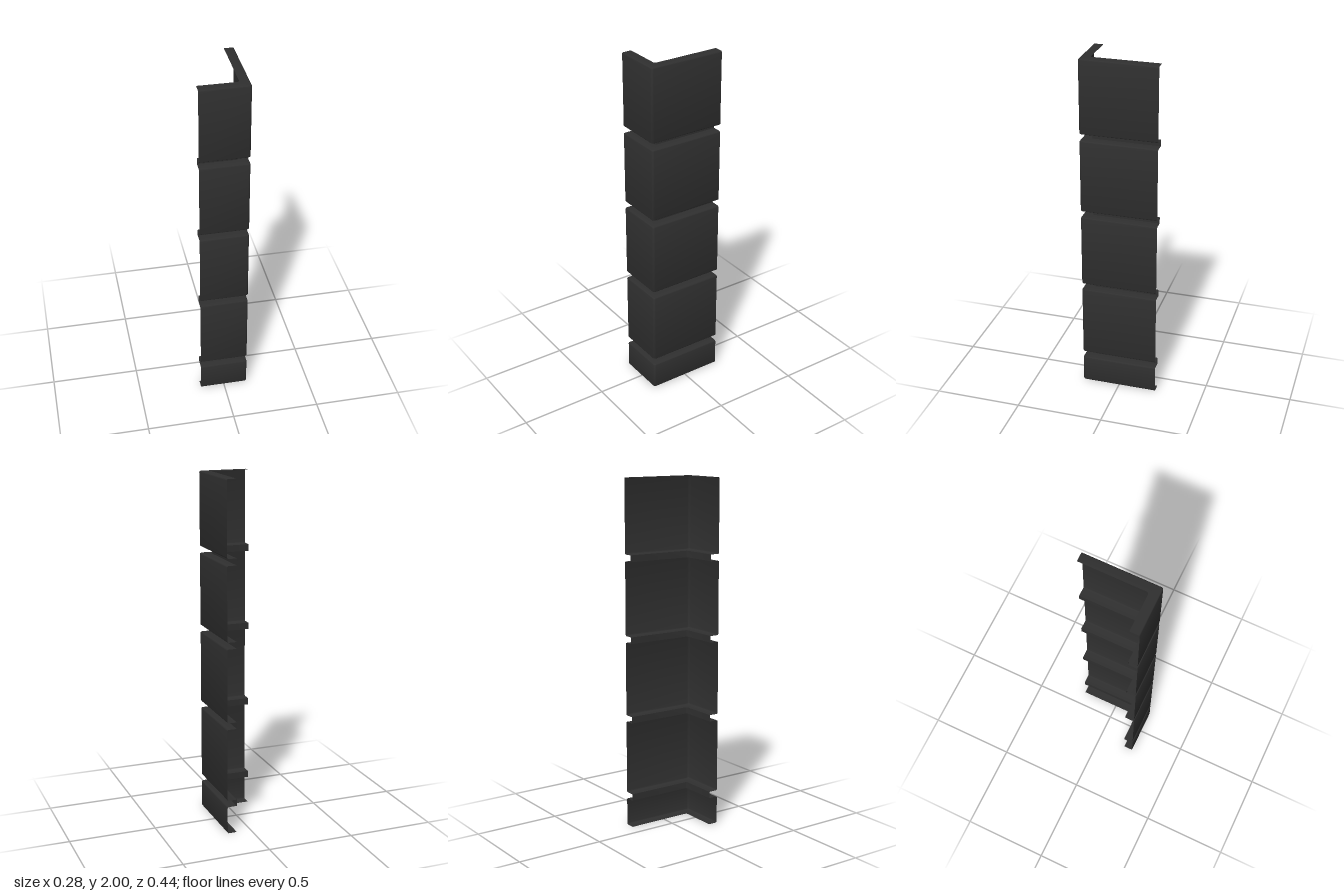
import * as THREE from 'three';
import { toCreasedNormals } from 'three/addons/utils/BufferGeometryUtils.js';

const X = 0.139, Z = 0.221; // half extents of the L plan
const DEPTH = 0.055;        // how far the ledges and grooves are set back
const R = 0.012;            // radius of the vertical corner
const EDGE = 0.007;         // radius of the panel edges

// L-shaped plan line, set back from the outer faces by the given inset
function planLine(inset) {
  const cx = X - inset - R, cz = Z - inset - R;
  const points = [[-X, Z - inset]];
  for (let i = 0; i <= 4; i++) {
    const a = (i / 4) * Math.PI / 2;
    points.push([cx + R * Math.sin(a), cz + R * Math.cos(a)]);
  }
  points.push([X - inset, -Z]);
  return points;
}

// Sheet swept along the plan; the profile lists [inset, height] from bottom to top
function sweep(profile) {
  const position = [], index = [];
  const count = planLine(0).length;
  for (const [inset, y] of profile) {
    for (const [x, z] of planLine(inset)) position.push(x, y, z);
  }
  for (let j = 0; j < profile.length - 1; j++) {
    for (let i = 0; i < count - 1; i++) {
      const a = j * count + i, b = a + 1, c = a + count, d = c + 1;
      index.push(a, b, d, a, d, c);
    }
  }
  const geometry = new THREE.BufferGeometry();
  geometry.setAttribute('position', new THREE.Float32BufferAttribute(position, 3));
  geometry.setIndex(index);
  return toCreasedNormals(geometry, 0.6);
}

// Hollow panel: bottom ledge, rounded edges, outer face, top ledge
function panelProfile(y0, y1) {
  const points = [[DEPTH, y0]];
  for (let i = 0; i <= 3; i++) {
    const a = (i / 3) * Math.PI / 2;
    points.push([EDGE * (1 - Math.sin(a)), y0 + EDGE * (1 - Math.cos(a))]);
  }
  for (let i = 0; i <= 3; i++) {
    const a = (i / 3) * Math.PI / 2;
    points.push([EDGE * (1 - Math.cos(a)), y1 - EDGE * (1 - Math.sin(a))]);
  }
  points.push([DEPTH, y1]);
  return points;
}

export function createModel() {
  const model = new THREE.Group();
  model.name = 'cornerCladding';
  const charcoal = new THREE.MeshStandardMaterial({ color: 0x2f2f2f, side: THREE.DoubleSide });
  charcoal.name = 'charcoal';

  const add = (name, profile) => {
    const mesh = new THREE.Mesh(sweep(profile), charcoal);
    mesh.name = name;
    model.add(mesh);
  };

  // Short base panel, then four equal panels separated by grooves
  const pitch = 0.46, gap = 0.038;
  add('basePanel', panelProfile(0, 0.16));
  for (let i = 0; i < 4; i++) {
    const bottom = 0.16 + i * pitch;
    add('groove' + (i + 1), [[DEPTH, bottom], [DEPTH, bottom + gap]]);
    add('panel' + (i + 1), panelProfile(bottom + gap, bottom + pitch));
  }
  return model;
}
